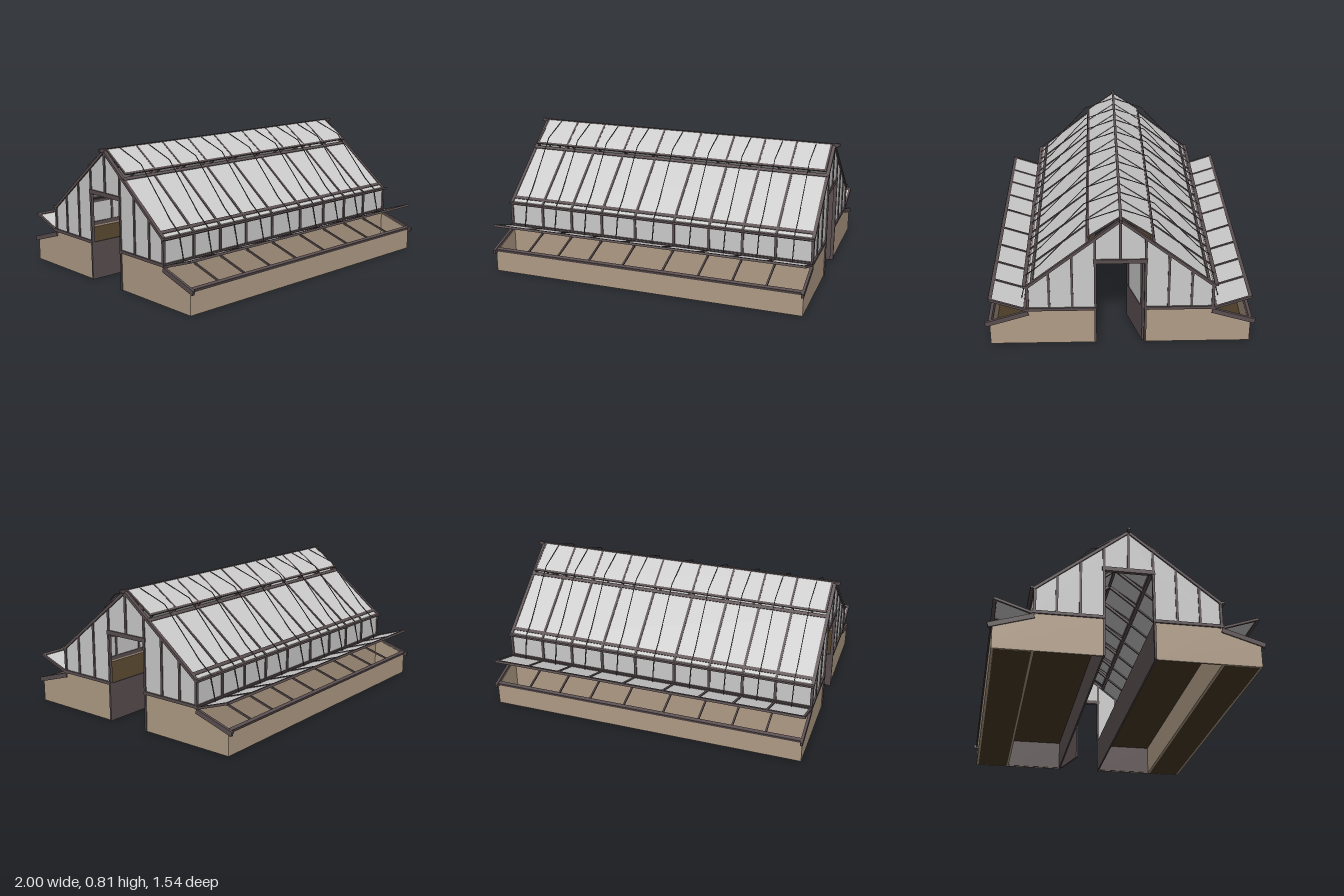
import * as THREE from 'three';

const mat = (color) => new THREE.MeshStandardMaterial({ color, side: THREE.DoubleSide });

export function createModel() {
  const root = new THREE.Group();
  root.name = 'greenhouse';
  const frame = mat(0x5a4e50), brick = mat(0xb09c86), glass = mat(0xcccccc), soil = mat(0x4a3c28);

  const add = (name, geometry, material, parent = root) => {
    const mesh = new THREE.Mesh(geometry, material);
    mesh.name = name;
    parent.add(mesh);
    return mesh;
  };
  // Box given by its limits on each axis
  const box = (name, m, x0, x1, y0, y1, z0, z1) => {
    const mesh = add(name, new THREE.BoxGeometry(Math.abs(x1 - x0), Math.abs(y1 - y0), Math.abs(z1 - z0)), m);
    mesh.position.set((x0 + x1) / 2, (y0 + y1) / 2, (z0 + z1) / 2);
    return mesh;
  };
  // Board w wide along x and t thick, running from a to b, both [z, y]
  const board = (name, m, x, w, a, b, t) => {
    const dz = b[0] - a[0], dy = b[1] - a[1];
    const mesh = add(name, new THREE.BoxGeometry(w, t, Math.hypot(dz, dy)), m);
    mesh.position.set(x, (a[1] + b[1]) / 2, (a[0] + b[0]) / 2);
    mesh.rotation.x = -Math.atan2(dy, dz);
    return mesh;
  };
  // Flat [z, y] outline extruded along x, centred on x
  const panel = (name, m, x, t, pts) => {
    const shape = new THREE.Shape(pts.map(([z, y]) => new THREE.Vector2(z, y)));
    const geo = new THREE.ExtrudeGeometry(shape, { depth: t, bevelEnabled: false });
    geo.translate(0, 0, -t / 2).rotateY(-Math.PI / 2);
    add(name, geo, m).position.x = x;
  };
  // Thin rod through [z, y] points
  const wire = (name, x, pts, r = 0.002) => {
    for (let i = 1; i < pts.length; i++) board(name, frame, x, r * 2, pts[i - 1], pts[i], r * 2);
  };

  const bars = [-0.75, -0.55, -0.345, -0.125, 0.125, 0.345, 0.55, 0.75];
  const edges = [-0.965, ...bars, 0.965];
  const roofY = (z) => 0.795 - Math.abs(z) * 0.8;

  for (const s of [1, -1]) {
    const p = (z, y) => [s * z, y];

    // Masonry base: outer wall, house wall, shaped ends and timber aisle wall
    box('outerWall', brick, -0.965, 0.965, 0, 0.135, s * 0.725, s * 0.74);
    box('houseWall', brick, -0.96, 0.96, 0, 0.225, s * 0.512, s * 0.527);
    box('aisleWall', frame, -0.965, 0.965, 0, 0.228, s * 0.137, s * 0.147);
    for (const e of [1, -1]) {
      panel('baseEnd', brick, e * 0.96, 0.012,
        [p(0.137, 0), p(0.74, 0), p(0.74, 0.135), p(0.525, 0.205), p(0.525, 0.225), p(0.137, 0.225)]);
      box('bedLining', frame, e * 0.948, e * 0.954, 0.003, 0.2, s * 0.147, s * 0.512);
      box('endSill', frame, e * 0.955, e * 0.975, 0.222, 0.24, s * 0.135, s * 0.53);
    }
    box('bedSoil', soil, -0.95, 0.95, 0.19, 0.205, s * 0.147, s * 0.512);
    box('coldFrameSoil', soil, -0.955, 0.955, 0, 0.008, s * 0.525, s * 0.728);
    box('sideSill', frame, -0.97, 0.97, 0.215, 0.24, s * 0.51, s * 0.532);

    // Sloping cold frame rim with its dividers
    for (const x of [-0.965, 0.965]) board('rimEnd', frame, x, 0.016, p(0.52, 0.207), p(0.765, 0.132), 0.028);
    for (const x of bars) board('rimDivider', frame, x, 0.01, p(0.52, 0.205), p(0.745, 0.137), 0.01);
    board('rimFront', frame, 0, 1.93, p(0.728, 0.145), p(0.748, 0.138), 0.018);

    // Propped cold frame lids
    board('lidGlass', glass, 0, 1.92, p(0.535, 0.227), p(0.735, 0.295), 0.004);
    edges.forEach((x) => board('lidBar', frame, x, 0.014, p(0.53, 0.225), p(0.738, 0.296), 0.014));
    board('lidFrontRail', frame, 0, 1.93, p(0.722, 0.2905), p(0.742, 0.297), 0.014);
    board('lidHingeRail', frame, 0, 1.93, p(0.53, 0.225), p(0.548, 0.231), 0.012);

    // Glazed side wall, eaves and gutter
    box('sideGlass', glass, -0.96, 0.96, 0.235, 0.385, s * 0.517, s * 0.521);
    edges.forEach((x) => box('sidePost', frame, x - 0.008, x + 0.008, 0.23, 0.385, s * 0.512, s * 0.528));
    box('eavesRail', frame, -0.97, 0.97, 0.365, 0.382, s * 0.512, s * 0.528);
    box('gutter', frame, -0.975, 0.975, 0.374, 0.386, s * 0.525, s * 0.546);

    // Roof slope with rafters and purlins
    board('roofGlass', glass, 0, 1.94, p(0.178, roofY(0.178)), p(0.525, roofY(0.525)), 0.004);
    edges.forEach((x) => board('rafter', frame, x, Math.abs(x) > 0.9 ? 0.02 : 0.014,
      p(0, 0.79), p(0.53, roofY(0.53)), 0.016));
    for (const z of [0.178, 0.49])
      board('purlin', frame, 0, 1.94, p(z - 0.008, roofY(z - 0.008)), p(z + 0.008, roofY(z + 0.008)), 0.014);

    // Ridge vent raised a little off the roof
    board('ventGlass', glass, 0, 1.9, p(0.004, 0.801), p(0.178, 0.682), 0.004);
    edges.forEach((x) => board('ventBar', frame, x * 0.985, 0.012, p(0.004, 0.801), p(0.18, 0.681), 0.007));
    board('ventRail', frame, 0, 1.91, p(0.17, 0.6875), p(0.182, 0.679), 0.007);

    // Bent cables over the roof and lid stays, one per bay
    for (let i = 0; i < 9; i++) {
      const x = (edges[i] + edges[i + 1]) / 2;
      wire('roofCable', x, [p(0, 0.803), p(0.2, 0.73), p(0.45, 0.455), p(0.535, 0.385)]);
      wire('lidStay', x, [p(0.53, 0.375), p(0.562, 0.237)], 0.0025);
    }
  }

  // Ridge beam
  box('ridge', frame, -0.99, 0.99, 0.785, 0.805, -0.008, 0.008);
  for (const e of [1, -1]) box('ridgeCap', frame, e * 0.975, e, 0.79, 0.808, -0.006, 0.006);

  // Glazed gables around the open doorway
  for (const e of [1, -1]) {
    const x = e * 0.963;
    panel('gableGlass', glass, x, 0.004, [[-0.52, 0.235], [-0.14, 0.235], [-0.14, 0.54], [0.14, 0.54],
      [0.14, 0.235], [0.52, 0.235], [0.52, 0.38], [0, 0.79], [-0.52, 0.38]]);
    for (const z of [-0.4, -0.27, -0.14, 0.14, 0.27, 0.4])
      box('gableBar', frame, x - 0.008, x + 0.008, 0.23, roofY(z), z - 0.007, z + 0.007);
    box('gableCentreBar', frame, x - 0.008, x + 0.008, 0.54, 0.79, -0.008, 0.008);
    box('lintel', frame, x - 0.011, x + 0.011, 0.525, 0.55, -0.15, 0.15);
    for (const s of [1, -1]) box('doorJamb', frame, x - 0.01, x + 0.01, 0, 0.53, s * 0.135, s * 0.147);
  }

  // Door swung inwards, hinged on the right jamb
  const door = new THREE.Group();
  door.name = 'door';
  const leaf = (name, m, u0, u1, y0, y1, t) => {
    const mesh = add(name, new THREE.BoxGeometry(u1 - u0, y1 - y0, t), m, door);
    mesh.position.set(-(u0 + u1) / 2, (y0 + y1) / 2, 0);
  };
  leaf('doorPanel', frame, 0, 0.27, 0.005, 0.22, 0.012);
  leaf('doorGlass', glass, 0.03, 0.24, 0.22, 0.5, 0.004);
  leaf('doorStile', frame, 0, 0.03, 0.22, 0.525, 0.014);
  leaf('doorStile', frame, 0.24, 0.27, 0.22, 0.525, 0.014);
  leaf('doorTopRail', frame, 0, 0.27, 0.5, 0.525, 0.014);
  door.position.set(0.955, 0, -0.128);
  door.rotation.y = 0.29;
  root.add(door);

  return root;
}
